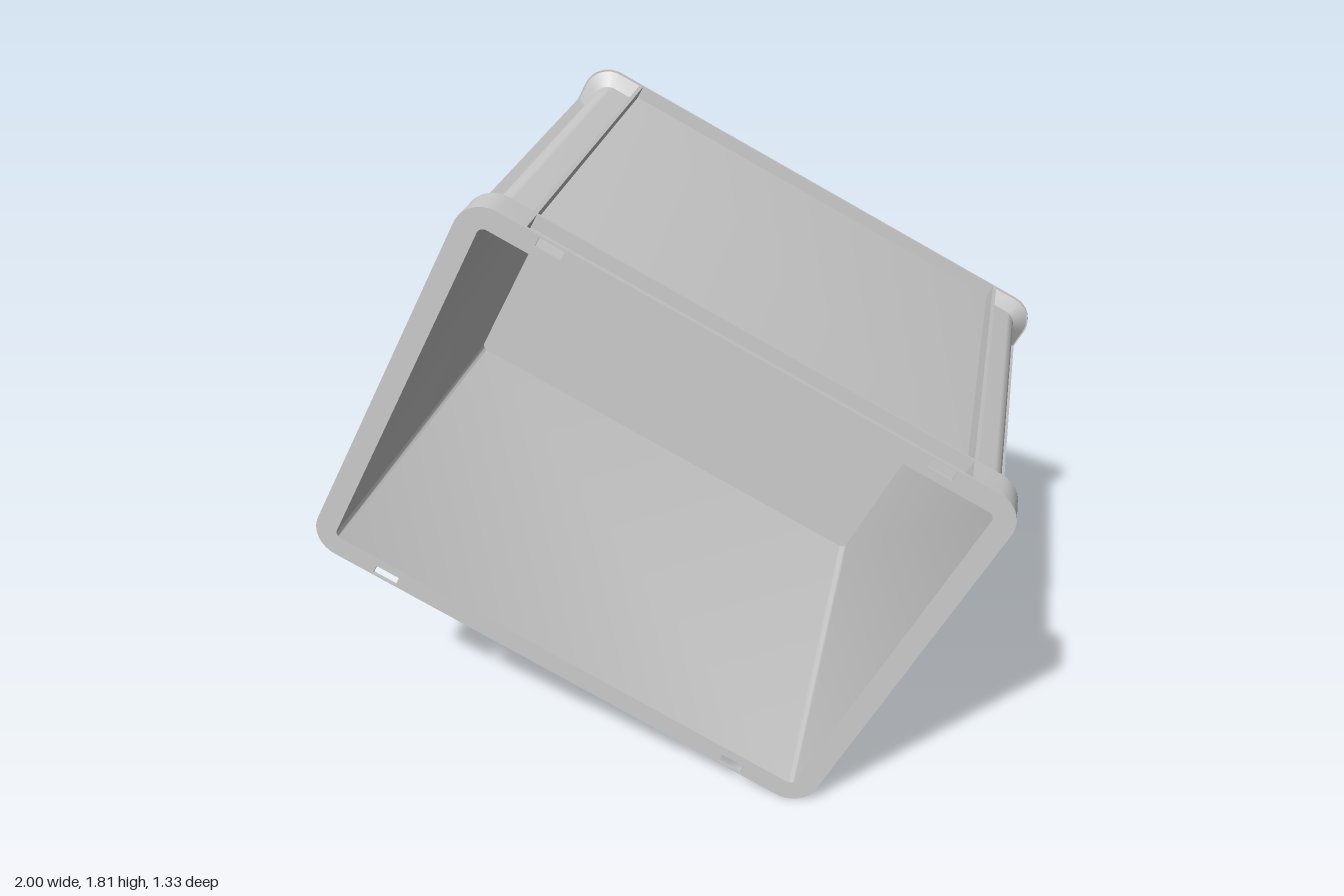
import * as THREE from 'three';
import { toCreasedNormals } from 'three/addons/utils/BufferGeometryUtils.js';

const TILT = THREE.MathUtils.degToRad(-27.05);
const OUT = { w: 0.838, h: 0.625, r: 0.09 };   // flange outline (half sizes)
const BODY = { w: 0.79, h: 0.583, r: 0.05 };   // outer wall
const INNER = { w: 0.772, h: 0.563, r: 0.02 }; // opening
const FRONT = 0.667, BACK = -0.667, BAND = 0.56, FLANGE = -0.638;
const RIB_X = 0.67, RIB_Y = 0.4685, THIN = 0.012;

const material = new THREE.MeshStandardMaterial({ color: 0xcccccc, side: THREE.DoubleSide });

function roundRect({ w, h, r }, Type = THREE.Shape) {
  const s = new Type();
  s.moveTo(w - r, -h);
  s.absarc(w - r, -h + r, r, -Math.PI / 2, 0);
  s.absarc(w - r, h - r, r, 0, Math.PI / 2);
  s.absarc(-w + r, h - r, r, Math.PI / 2, Math.PI);
  s.absarc(-w + r, -h + r, r, Math.PI, Math.PI * 1.5);
  s.closePath();
  return s;
}

function rectHole(cx, cy, w, h) {
  const p = new THREE.Path();
  p.moveTo(cx - w / 2, cy - h / 2);
  p.lineTo(cx + w / 2, cy - h / 2);
  p.lineTo(cx + w / 2, cy + h / 2);
  p.lineTo(cx - w / 2, cy + h / 2);
  p.closePath();
  return p;
}

function extrude(shape, z0, z1) {
  const g = new THREE.ExtrudeGeometry(shape, { depth: z1 - z0, bevelEnabled: false, curveSegments: 8 });
  return g.translate(0, 0, z0);
}

// Corner skin running from rib to rib; each row is [z, outward blend 0..1]
function cornerSkin(sx, sy, rows) {
  const pos = [], idx = [], n = 8, cols = n + 3;
  for (const [z, t] of rows) {
    const w = THREE.MathUtils.lerp(BODY.w, OUT.w, t);
    const h = THREE.MathUtils.lerp(BODY.h, OUT.h, t);
    const r = THREE.MathUtils.lerp(BODY.r, OUT.r, t);
    const pts = [[w, RIB_Y]];
    for (let i = 0; i <= n; i++) {
      const a = (i / n) * Math.PI / 2;
      pts.push([w - r + r * Math.cos(a), h - r + r * Math.sin(a)]);
    }
    pts.push([RIB_X, h]);
    for (const [x, y] of pts) pos.push(sx * x, sy * y, z);
  }
  for (let j = 0; j < rows.length - 1; j++) {
    for (let i = 0; i < cols - 1; i++) {
      const a = j * cols + i, b = a + 1, c = a + cols, d = c + 1;
      // rows run from front to back; mirrored corners swap the winding
      if (sx * sy > 0) idx.push(a, c, b, b, c, d);
      else idx.push(a, b, c, b, d, c);
    }
  }
  const g = new THREE.BufferGeometry();
  g.setAttribute('position', new THREE.Float32BufferAttribute(pos, 3));
  g.setIndex(idx);
  return g;
}

export function createModel() {
  const model = new THREE.Group();
  model.name = 'storageCrate';
  const crate = new THREE.Group();
  crate.name = 'tiltedCrate';
  crate.rotation.z = TILT;
  crate.position.y = 0.907;
  model.add(crate);

  const add = (name, geo) => {
    const m = new THREE.Mesh(toCreasedNormals(geo, 0.6), material);
    m.name = name;
    crate.add(m);
  };
  const box = (name, x0, x1, y0, y1, z0, z1) => {
    const g = new THREE.BoxGeometry(Math.abs(x1 - x0), Math.abs(y1 - y0), Math.abs(z1 - z0));
    add(name, g.translate((x0 + x1) / 2, (y0 + y1) / 2, (z0 + z1) / 2));
  };

  // Four walls, the inside narrowing slightly toward the floor
  const wallShape = roundRect(BODY);
  wallShape.holes.push(roundRect(INNER, THREE.Path));
  const walls = extrude(wallShape, FLANGE, FRONT - 0.002);
  const p = walls.attributes.position;
  for (let i = 0; i < p.count; i++) {
    const inside = Math.abs(p.getX(i)) < INNER.w + 0.001 && Math.abs(p.getY(i)) < INNER.h + 0.001;
    const inHole = inside && p.getZ(i) < 0;
    if (inHole) p.setXY(i, p.getX(i) - Math.sign(p.getX(i)) * 0.014, p.getY(i) - Math.sign(p.getY(i)) * 0.014);
  }
  add('walls', walls);

  // Floor with its stepped foot
  add('floorFoot', extrude(roundRect({ w: 0.775, h: 0.566, r: 0.03 }), BACK, FLANGE + 0.005));

  // Rim flange with four slots, second flange behind it, and base flange
  const rim = roundRect(OUT);
  rim.holes.push(roundRect(INNER, THREE.Path));
  for (const sx of [-1, 1]) for (const sy of [-1, 1]) {
    rim.holes.push(rectHole(sx * 0.585, sy * 0.605, 0.075, 0.03));
  }
  add('rimFlange', extrude(rim, FRONT - 0.01, FRONT));
  const ring = roundRect(OUT);
  ring.holes.push(roundRect({ w: 0.78, h: 0.573, r: 0.04 }, THREE.Path));
  add('lowerRimFlange', extrude(ring, BAND, BAND + 0.008));
  add('baseFlange', extrude(ring, FLANGE - 0.004, FLANGE + 0.004));

  for (const sx of [-1, 1]) {
    for (const sy of [-1, 1]) {
      // Rounded corner band at the rim and flared corner at the base
      add('rimCorner', cornerSkin(sx, sy, [[FRONT - 0.005, 1], [BAND, 1], [BAND - 0.035, 0]]));
      add('baseCorner', cornerSkin(sx, sy, [[-0.597, 0], [FLANGE, 1]]));
      // Long thin ribs beside each corner
      const x = sx * RIB_X, y = sy * RIB_Y, t = THIN / 2;
      box('longSideRib', x - t, x + t, sy * (BODY.h - 0.01), sy * OUT.h, FLANGE, FRONT - 0.005);
      box('shortSideRib', sx * (BODY.w - 0.01), sx * OUT.w, y - t, y + t, FLANGE, FRONT - 0.005);
      // Ends of the hand grip frame
      box('gripEndRib', sx * (BODY.w - 0.01), sx * 0.836, sy * 0.3 - t, sy * 0.3 + t, 0.365, BAND);
    }
    // Lower bar of the hand grip frame
    box('gripBar', sx * (BODY.w - 0.01), sx * 0.836, -0.3, 0.3, 0.365, 0.377);
  }
  return model;
}
